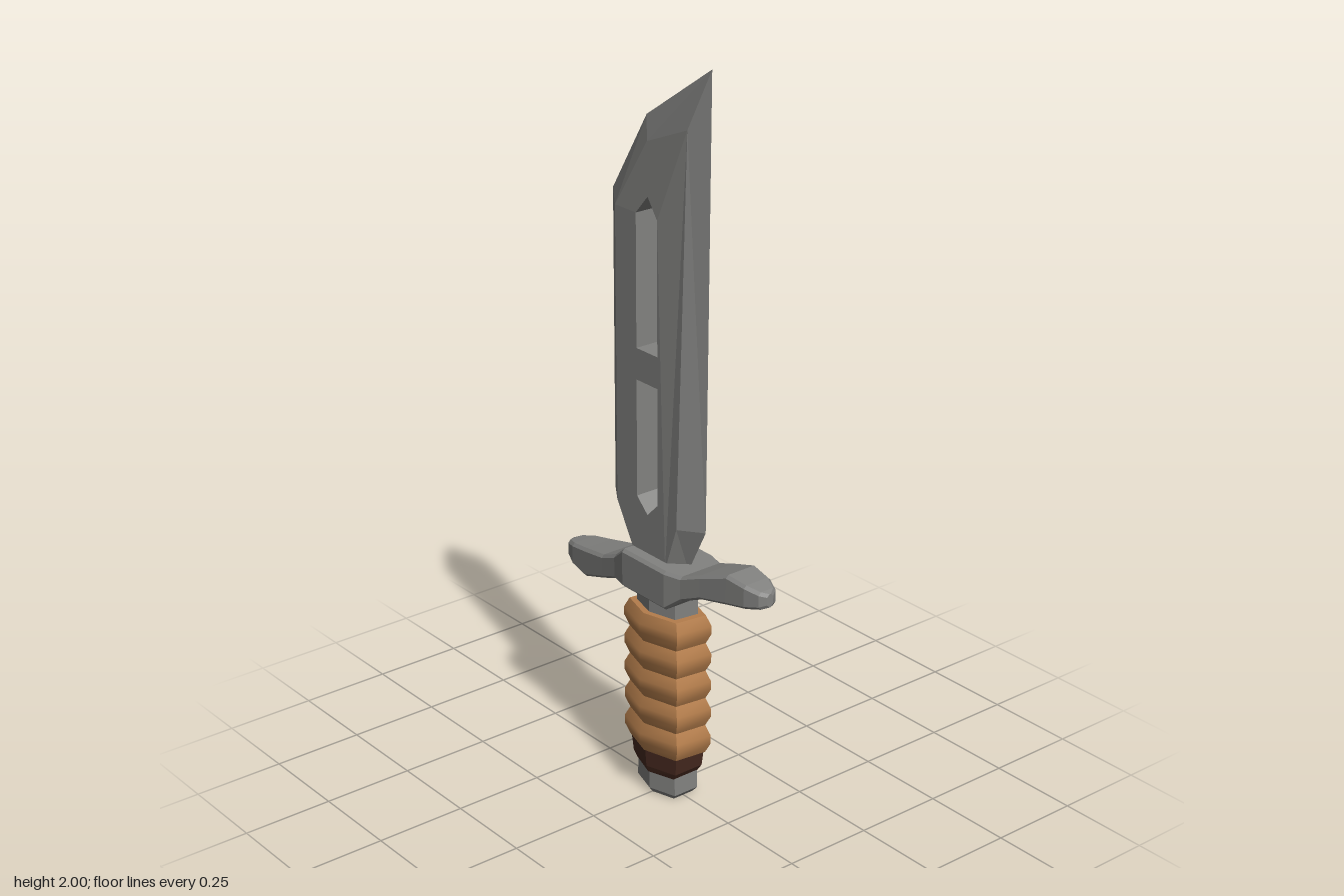
import * as THREE from 'three';
import { toCreasedNormals } from 'three/addons/utils/BufferGeometryUtils.js';

const steel = new THREE.MeshStandardMaterial({ color: 0x828280 });
steel.name = 'steel';
const leather = new THREE.MeshStandardMaterial({ color: 0xb57e4c });
leather.name = 'tan leather';
const darkLeather = new THREE.MeshStandardMaterial({ color: 0x46291f });
darkLeather.name = 'dark leather';

// Non-indexed geometry from a list of corner points: flat faces, or smoothed below a crease angle
function fromCorners(corners, crease = 0) {
  const geo = new THREE.BufferGeometry();
  geo.setAttribute('position', new THREE.Float32BufferAttribute(corners.flat(), 3));
  geo.computeVertexNormals();
  return crease ? toCreasedNormals(geo, crease) : geo;
}

const quad = (a, b, c, d) => [a, b, c, a, c, d];

// Skin between matching rings, closed at both ends
function loft(rings, crease) {
  const out = [];
  const n = rings[0].length;
  for (let r = 0; r < rings.length - 1; r++) {
    const A = rings[r], B = rings[r + 1];
    for (let i = 0; i < n; i++) {
      const j = (i + 1) % n;
      out.push(...quad(A[i], A[j], B[j], B[i]));
    }
  }
  const first = rings[0], last = rings[rings.length - 1];
  for (let i = 1; i < n - 1; i++) {
    out.push(first[0], first[i + 1], first[i], last[0], last[i], last[i + 1]);
  }
  return fromCorners(out, crease);
}

// Six-sided ring with corners pointing to front and back
function hexRing(y, x, z, tilt = 0) {
  const s = z * 0.62;
  return [[0, z], [x, s], [x, -s], [0, -z], [-x, -s], [-x, s]]
    .map(([px, pz]) => [px, y + pz * tilt, pz]);
}

function bladeGeometry() {
  // Cutting edge and the border of the flat, both anticlockwise
  const edge = [[-0.1, 0.67], [0.085, 0.67], [0.152, 0.8], [0.165, 2.0],
    [-0.08, 1.838], [-0.215, 1.62], [-0.215, 0.8]];
  const flat = [[-0.075, 0.67], [0.045, 0.67], [0.09, 0.8], [0.108, 1.845],
    [-0.04, 1.785], [-0.15, 1.6], [-0.15, 0.8]];
  const holes = [
    [[-0.068, 0.84], [-0.068, 1.16], [0.015, 1.16], [0.015, 0.84], [-0.026, 0.8]],
    [[-0.068, 1.245], [-0.068, 1.6], [-0.026, 1.65], [0.015, 1.6], [0.015, 1.245]],
  ];
  // The flat thins toward the point
  const half = (y) => 0.045 - 0.017 * Math.max(0, y - 1.6) / 0.24;
  const at = ([x, y], side) => [x, y, side * half(y)];
  const rim = ([x, y]) => [x, y, 0];
  const out = [];

  // Flat faces with the two slots
  const vec = (list) => list.map(([x, y]) => new THREE.Vector2(x, y));
  const points = [flat, ...holes].flat();
  for (const [a, b, c] of THREE.ShapeUtils.triangulateShape(vec(flat), holes.map(vec))) {
    out.push(at(points[a], 1), at(points[b], 1), at(points[c], 1));
    out.push(at(points[a], -1), at(points[c], -1), at(points[b], -1));
  }
  // Bevels running down to the edge
  for (let i = 0; i < edge.length; i++) {
    const j = (i + 1) % edge.length;
    out.push(...quad(rim(edge[i]), rim(edge[j]), at(flat[j], 1), at(flat[i], 1)));
    out.push(...quad(rim(edge[j]), rim(edge[i]), at(flat[i], -1), at(flat[j], -1)));
  }
  // Slot walls
  for (const hole of holes) {
    hole.forEach((a, i) => {
      const b = hole[(i + 1) % hole.length];
      out.push(...quad(at(a, 1), at(a, -1), at(b, -1), at(b, 1)));
    });
  }
  return fromCorners(out);
}

function guardGeometry() {
  // x, top, bottom, half depth of one arm; the other arm is it turned half round
  const arm = [
    [0.085, 0.692, 0.583, 0.082], [0.135, 0.692, 0.622, 0.069], [0.2, 0.718, 0.65, 0.06],
    [0.29, 0.75, 0.667, 0.05], [0.35, 0.742, 0.677, 0.043], [0.388, 0.733, 0.685, 0.028],
    [0.4, 0.727, 0.69, 0.01],
  ];
  const mirrored = arm.map(([x, t, b, z]) => [-x, 1.275 - b, 1.275 - t, z]).reverse();
  const c = 0.008;
  return loft([...mirrored, ...arm].map(([x, t, b, z]) => [
    [x, t, -z + c], [x, t, z - c], [x, t - c, z], [x, b + c, z],
    [x, b, z - c], [x, b, -z + c], [x, b + c, -z], [x, t - c, -z],
  ]));
}

export function createModel() {
  const model = new THREE.Group();
  model.name = 'dagger';
  const add = (name, geometry, material, parent = model) => {
    const mesh = new THREE.Mesh(geometry, material);
    mesh.name = name;
    parent.add(mesh);
  };

  add('blade', bladeGeometry(), steel);
  add('guard', guardGeometry(), steel);
  add('neck', loft([hexRing(0.5, 0.078, 0.062), hexRing(0.6, 0.078, 0.062)]), steel);

  // Five slightly tilted leather wraps
  const grip = new THREE.Group();
  grip.name = 'grip';
  model.add(grip);
  const step = 0.081;
  for (let i = 0; i < 5; i++) {
    const y = 0.13 + i * step;
    add('gripWrap', loft([
      hexRing(y, 0.096, 0.08, 0.08),
      hexRing(y + step * 0.35, 0.109, 0.093, 0.08),
      hexRing(y + step * 0.65, 0.109, 0.093, 0.08),
      hexRing(y + step, 0.096, 0.08, 0.08),
    ], 1.08), leather, grip);
  }

  add('collar', loft([
    hexRing(0.066, 0.076, 0.066), hexRing(0.085, 0.088, 0.072), hexRing(0.135, 0.094, 0.076),
  ]), darkLeather);
  add('pommel', loft([
    hexRing(0, 0.066, 0.052), hexRing(0.015, 0.078, 0.062), hexRing(0.08, 0.076, 0.062),
  ]), steel);

  return model;
}
